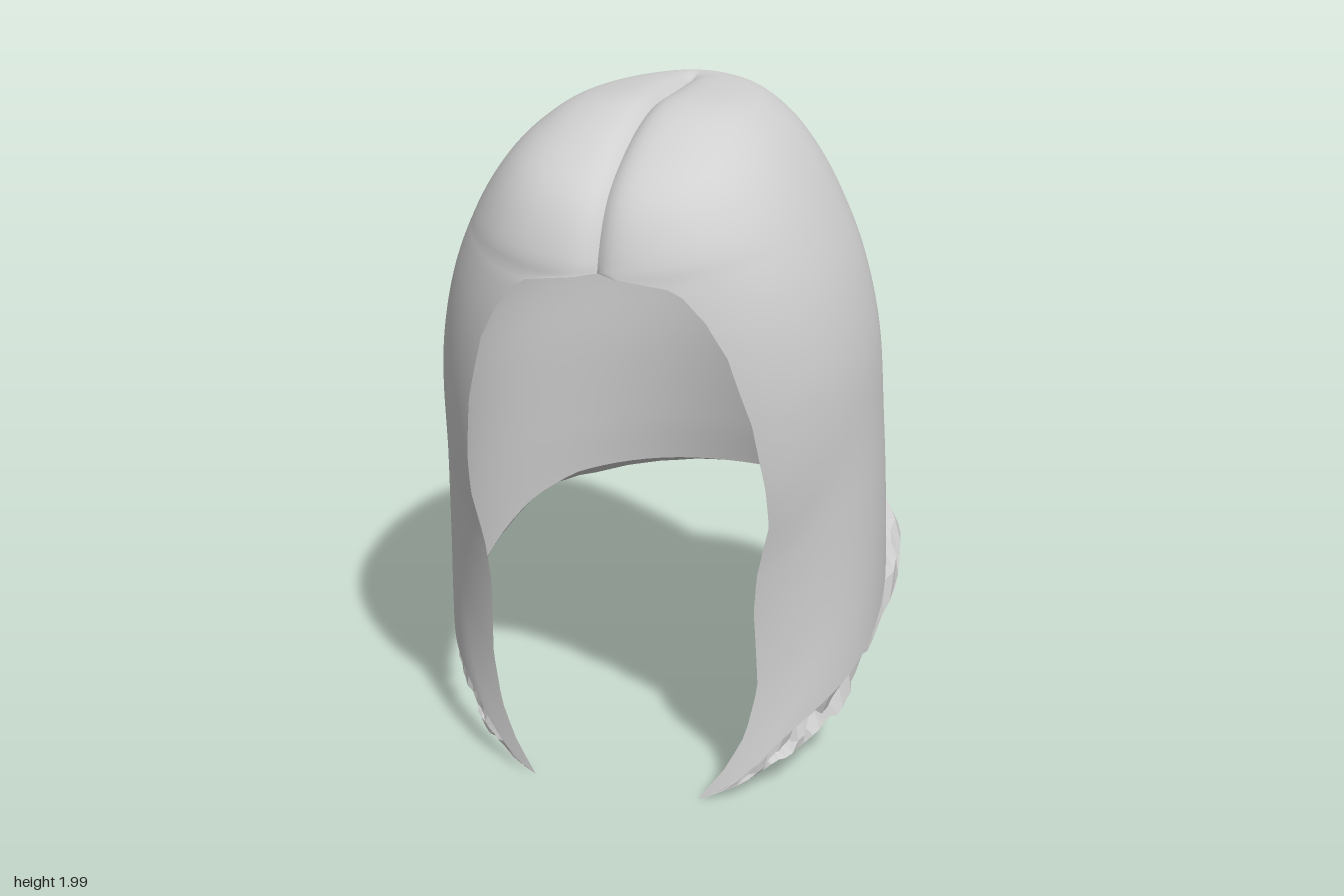
import * as THREE from 'three';

// Profiles sampled at q = 0, .1 ... 1, where height y = 2 - 2q²
const HALF_WIDTH = [0, 0.22, 0.335, 0.43, 0.515, 0.59, 0.64, 0.66, 0.675, 0.68, 0.67];
const FRONT_Z = [0.22, 0.39, 0.57, 0.74, 0.83, 0.866, 0.866, 0.834, 0.755, 0.72, 0.742];
const BACK_Z = [-0.05, -0.25, -0.36, -0.42, -0.46, -0.485, -0.505, -0.53, -0.585, -0.66, -0.67];
// Half-width of the face opening by height, and hem height by z
const OPENING = [[0, 0.255], [0.1, 0.33], [0.2, 0.38], [0.35, 0.41], [0.6, 0.4], [0.72, 0.41], [0.88, 0.445],
  [1, 0.44], [1.2, 0.41], [1.4, 0.35], [1.5, 0.295], [1.57, 0.235], [1.6, 0.18], [1.61, 0.1], [1.615, 0]];
const HEM = [[-0.64, 0.49], [-0.4, 0.475], [-0.2, 0.43], [0, 0.36], [0.2, 0.28], [0.4, 0.19], [0.6, 0.09], [0.71, 0]];

const CENTRE_Z = 0.15;
const SIDE = 52, ROWS = 84;
const { lerp, smoothstep, clamp } = THREE.MathUtils;

function table(t, v) {
  if (v <= t[0][0]) return t[0][1];
  for (let i = 1; i < t.length; i++) {
    if (v <= t[i][0]) return lerp(t[i - 1][1], t[i][1], (v - t[i - 1][0]) / (t[i][0] - t[i - 1][0]));
  }
  return t[t.length - 1][1];
}

// Smooth (Catmull-Rom) lookup in a uniform profile
function profile(p, q) {
  const f = clamp(q, 0, 1) * (p.length - 1);
  const i = Math.min(Math.floor(f), p.length - 2), t = f - i;
  const b = p[i], c = p[i + 1], a = p[i - 1] ?? 2 * b - c, d = p[i + 2] ?? 2 * c - b;
  return b + 0.5 * t * (c - a + t * (2 * a - 5 * b + 4 * c - d + t * (3 * (b - c) + d - a)));
}

function hash(n) {
  const s = Math.sin(n * 127.1 + 3.7) * 43758.5453;
  return (s - Math.floor(s)) * 2 - 1;
}

// Column j runs from the right front edge, round the back, to the left front edge
function column(j) {
  const s = j / SIDE - 1;
  return { angle: Math.PI * Math.pow(1 - Math.abs(s), 1.4), sign: s < 0 ? -1 : 1 };
}

// Squeezes the front quarter so that it starts at the face opening
function frontAngle(angle, start) {
  return lerp(start, Math.PI / 2, angle / (Math.PI / 2));
}

function hemHeight(angle) {
  const c = Math.cos(angle);
  const z = c > 0 ? 0.56 * Math.cos(frontAngle(angle, 0.35)) / Math.cos(0.35) : 0.8 * c;
  return table(HEM, CENTRE_Z + z);
}

// Point on the hood: k = 0 at the crown, 1 at the lower edge
function hoodPoint(j, k, lip, thickness) {
  const { angle, sign } = column(j);
  const bottom = hemHeight(angle) + lip * smoothstep(angle, 0, 0.8);
  const q = k * Math.sqrt((2 - bottom) / 2);
  const frontY = 2 - 2 * k * k;
  const gap = table(OPENING, frontY);
  const w = profile(HALF_WIDTH, q);
  const point = new THREE.Vector3(0, 2 - 2 * q * q, 0);
  if (angle <= Math.PI / 2) {
    const power = lerp(0.8, 0.9, k);
    const start = gap > 0 ? Math.asin(Math.pow(gap / profile(HALF_WIDTH, k), 1 / power)) : 0;
    const a = frontAngle(angle, start);
    point.x = w * Math.pow(Math.sin(a), power);
    point.z = CENTRE_Z + (profile(FRONT_Z, k) - CENTRE_Z) * Math.pow(Math.max(0, Math.cos(a)), power);
  } else {
    const power = 1 - 0.07 * k ** 4;
    point.x = w * Math.pow(Math.max(0, Math.sin(angle)), power);
    point.z = CENTRE_Z - (CENTRE_Z - profile(BACK_Z, q)) * Math.pow(-Math.cos(angle), power);
  }
  const out = new THREE.Vector3(point.x / 0.6, Math.max(0, point.y - 1.3) * 1.6, (point.z - 0.1) / 0.65).normalize();
  // Both layers meet along the face opening
  let inset = thickness * Math.max(smoothstep(angle, 0, 0.4), smoothstep(frontY, 1.615, 1.72));
  // Groove of the centre parting
  if (gap === 0) inset += 0.035 * Math.exp(-point.x / 0.035) * smoothstep(point.z, -0.22, -0.1);
  point.addScaledVector(out, -inset);
  point.x = Math.max(0, point.x) * sign;
  return point;
}

// Grid surface from rows of points
function loft(rows, flip = false) {
  const n = rows[0].length, index = [];
  for (let i = 0; i < rows.length - 1; i++) {
    for (let j = 0; j < n - 1; j++) {
      const a = i * n + j, b = a + 1, c = a + n, d = c + 1;
      if (flip) index.push(a, d, b, a, c, d);
      else index.push(a, b, d, a, d, c);
    }
  }
  const geometry = new THREE.BufferGeometry().setFromPoints(rows.flat());
  geometry.setIndex(index);
  geometry.computeVertexNormals();
  return geometry;
}

const OUTER_LIP = 0.1, INNER_LIP = 0.06;

function row(fn) {
  return Array.from({ length: 2 * SIDE + 1 }, (_, j) => fn(j));
}

function layer(lip, thickness) {
  const rows = [];
  for (let i = 0; i <= ROWS; i++) rows.push(row(j => hoodPoint(j, i / ROWS, lip, thickness)));
  return rows;
}

// Ragged rim row, tucked under at the sides and flaring out at the back
function rimRow(reach, lift, seed) {
  return row(j => {
    const { angle } = column(j);
    const edge = smoothstep(angle, 0, 0.8), back = Math.max(0, -Math.cos(angle));
    const flare = -0.04 * Math.sin(angle) + 0.205 * Math.pow(back, 0.75);
    const point = hoodPoint(j, 1, 0, 0);
    const out = new THREE.Vector3(point.x, 0, point.z - CENTRE_Z).normalize();
    const step = Math.floor(j / 2) + seed;
    point.addScaledVector(out, (flare * reach + 0.015 * hash(step)) * edge);
    point.y += (lift + 0.015 * hash(step + 50)) * edge;
    return point;
  });
}

export function createModel() {
  const hair = new THREE.MeshStandardMaterial({ color: 0xd0d0d0, side: THREE.DoubleSide });
  hair.name = 'light grey';
  const group = new THREE.Group();
  group.name = 'hair';
  const add = (name, geometry) => {
    const mesh = new THREE.Mesh(geometry, hair);
    mesh.name = name;
    group.add(mesh);
  };

  const outer = layer(OUTER_LIP, 0);
  const inner = layer(INNER_LIP, 0.03);
  add('outerHair', loft(outer));
  add('innerLining', loft(inner, true));

  // Faceted hem: upper fringe, outermost rim and underside, joining both layers
  const hemRows = [outer[ROWS], rimRow(0.6, 0.085, 0), rimRow(1, 0.025, 100), rimRow(0.6, 0, 200), inner[ROWS]];
  const hem = loft(hemRows).toNonIndexed();
  hem.computeVertexNormals();
  add('raggedHem', hem);
  return group;
}
